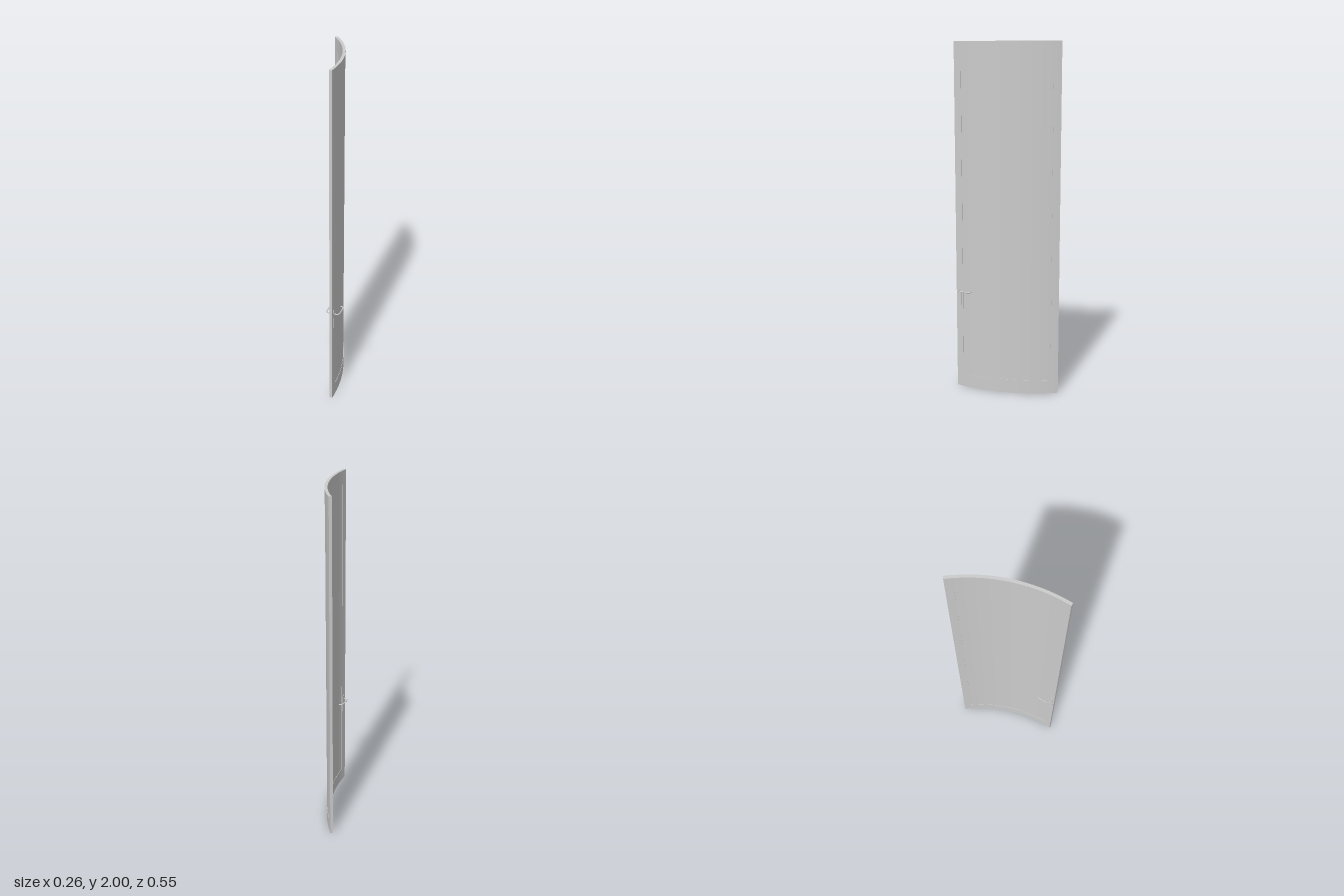
import * as THREE from 'three';

const R = 0.85, HALF = 0.008, CX = -0.7265, CZ = -0.327; // door arc
const rad = THREE.MathUtils.degToRad;
const A0 = rad(3.4), A1 = rad(44.4), INSET = rad(2.95);
const Y0 = 0.08, Y1 = 1.925;

export function createModel() {
  const model = new THREE.Group();
  const material = new THREE.MeshStandardMaterial({ color: 0xcccccc });

  function add(parent, name, geometry) {
    const mesh = new THREE.Mesh(geometry, material);
    mesh.name = name;
    parent.add(mesh);
    return mesh;
  }

  // Slab bent along the door arc between two angles and two heights
  function curvedSlab(name, half, a0, a1, y0, y1) {
    const shape = new THREE.Shape();
    shape.absarc(CX, CZ, R + half, a0, a1, false);
    shape.absarc(CX, CZ, R - half, a1, a0, true);
    const geo = new THREE.ExtrudeGeometry(shape, { depth: y1 - y0, bevelEnabled: false, curveSegments: 40 });
    geo.rotateX(Math.PI / 2).translate(0, y1, 0);
    add(model, name, geo);
  }

  // Door leaf: stiles, rails and slightly recessed panel
  curvedSlab('hingeStile', HALF, A0, A0 + INSET, 0, 2);
  curvedSlab('lockStile', HALF, A1 - INSET, A1, 0, 2);
  curvedSlab('bottomRail', HALF, A0 + INSET, A1 - INSET, 0, Y0);
  curvedSlab('topRail', HALF, A0 + INSET, A1 - INSET, Y1, 2);
  curvedSlab('recessedPanel', HALF - 0.002, A0 + INSET, A1 - INSET, Y0, Y1);

  // Handle sets on both faces; local x points out of the convex face
  const phi = A1 - INSET / 2;
  const w = 0.013, low = 0.508, high = 0.602;
  const plate = new THREE.Shape();
  plate.absarc(0, high, w, 0, Math.PI, false);
  plate.absarc(0, low, w, Math.PI, 2 * Math.PI, false);

  for (const [side, s] of [['outer', 1], ['inner', -1]]) {
    const set = new THREE.Group();
    set.name = side + 'Handle';
    set.position.set(CX + R * Math.cos(phi), 0, CZ + R * Math.sin(phi));
    set.rotation.y = -phi;
    model.add(set);

    const plateGeo = new THREE.ExtrudeGeometry(plate, { depth: 0.003, bevelEnabled: false, curveSegments: 12 });
    plateGeo.rotateY(Math.PI / 2).translate(s > 0 ? HALF : -HALF - 0.003, 0, 0);
    add(set, side + 'Plate', plateGeo);

    // Lever: out from the plate, along the door, curling back at the tip
    const points = [[0.008, 0], [0.025, 0], [0.034, -0.004], [0.038, -0.014], [0.038, -0.04],
      [0.037, -0.066], [0.033, -0.078], [0.027, -0.083], [0.02, -0.084]];
    const path = new THREE.CatmullRomCurve3(points.map(([x, z]) => new THREE.Vector3(s * x, 0.59, z)));
    add(set, side + 'Lever', new THREE.TubeGeometry(path, 40, 0.0035, 10));
    const tip = add(set, side + 'LeverTip', new THREE.SphereGeometry(0.0035, 10, 8));
    tip.position.set(s * 0.02, 0.59, -0.084);
  }
  return model;
}
